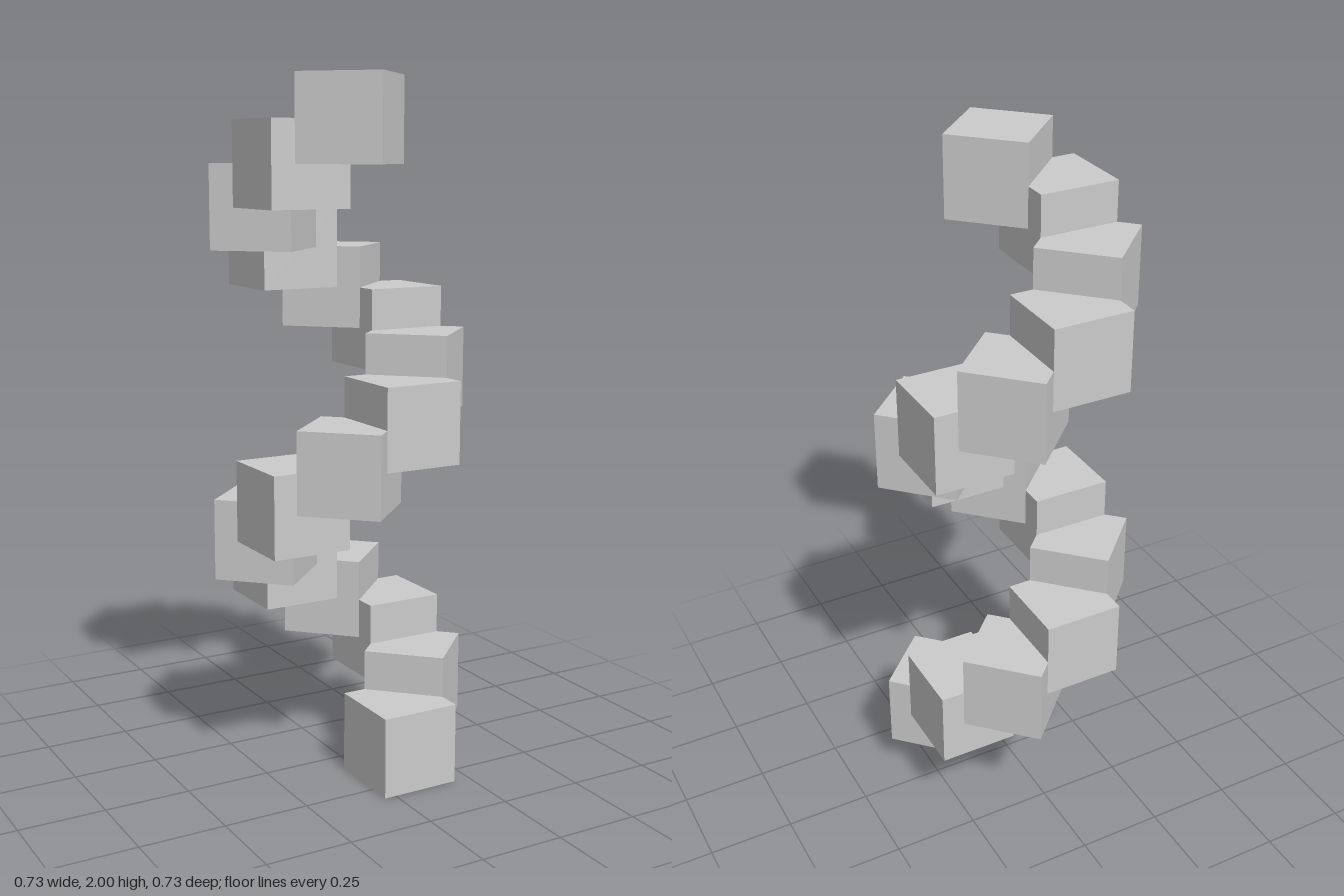
import * as THREE from 'three';

const COUNT = 16;             // blocks in the helix
const SIZE = 4 / (COUNT + 1); // block edge; each step rises half a block
const RADIUS = 0.217;         // helix axis to block centre
const STEP = Math.PI / 4;     // turn per block

export function createModel() {
  const model = new THREE.Group();
  model.name = 'spiralOfBlocks';

  const geometry = new THREE.BoxGeometry(SIZE, SIZE, SIZE);
  const material = new THREE.MeshStandardMaterial({ color: 0xcccccc, flatShading: true });

  // Two turns of cubes, each turned with its step around the axis
  for (let i = 0; i < COUNT; i++) {
    const angle = STEP * (i + 0.5);
    const block = new THREE.Mesh(geometry, material);
    block.name = `block${i + 1}`;
    block.position.set(
      RADIUS * Math.sin(angle),
      SIZE / 2 + (i * SIZE) / 2,
      RADIUS * Math.cos(angle)
    );
    block.rotation.y = STEP * i;
    model.add(block);
  }

  return model;
}
